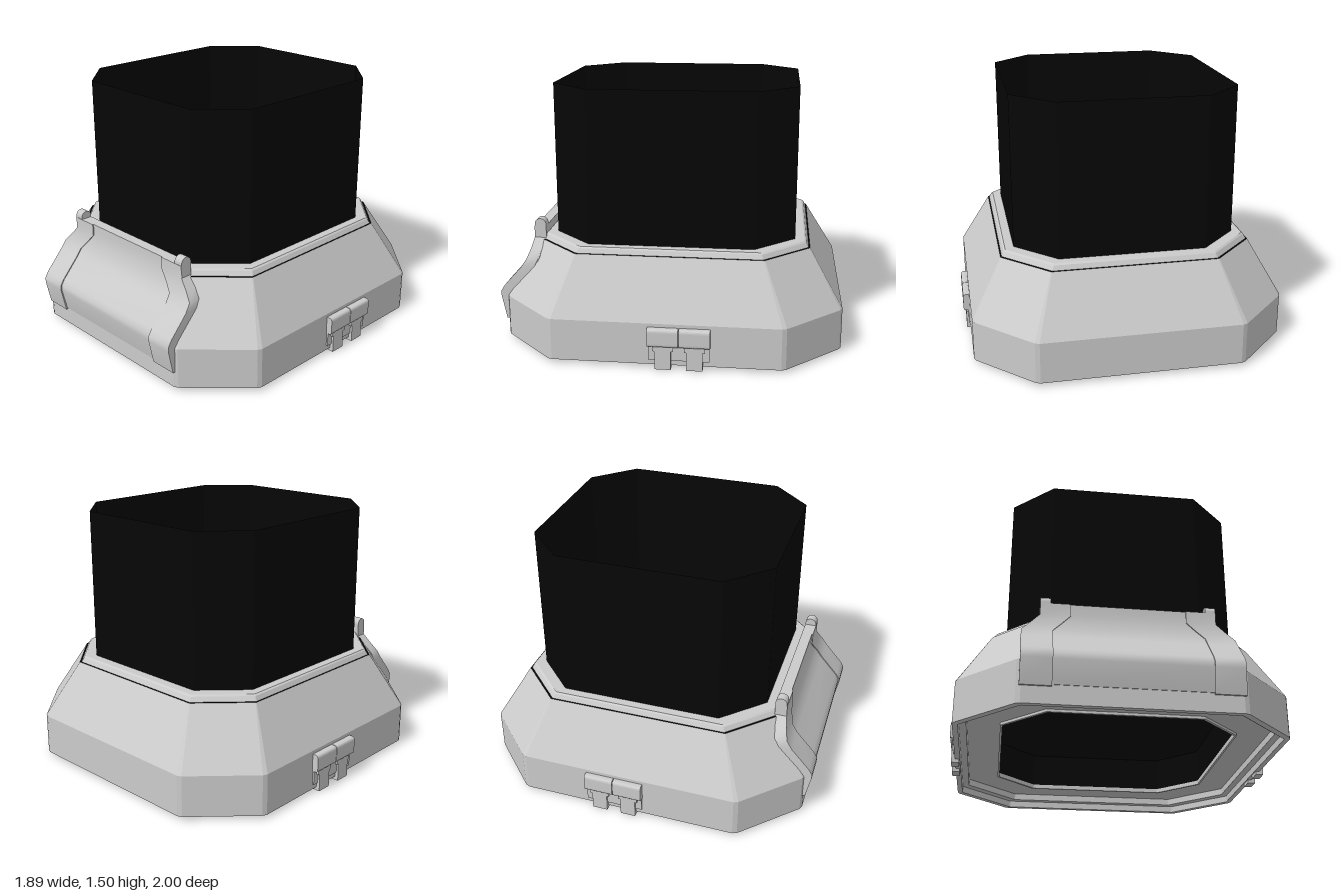
import * as THREE from 'three';
import { toCreasedNormals } from 'three/addons/utils/BufferGeometryUtils.js';

const MID_Z = -0.02;

// Skin a list of horizontal rings (arrays of [x, y, z]); rings rise on the outside
function loft(rings, caps = false) {
  const n = rings[0].length, idx = [];
  for (let i = 0; i < rings.length - 1; i++) {
    for (let j = 0; j < n; j++) {
      const k = (j + 1) % n;
      const a = i * n + j, b = i * n + k, c = a + n, d = b + n;
      idx.push(a, b, d, a, d, c);
    }
  }
  if (caps) {
    const top = (rings.length - 1) * n;
    for (let j = 1; j < n - 1; j++) {
      idx.push(0, j + 1, j);
      idx.push(top, top + j, top + j + 1);
    }
  }
  const geo = new THREE.BufferGeometry();
  geo.setAttribute('position', new THREE.Float32BufferAttribute(rings.flat(2), 3));
  geo.setIndex(idx);
  return geo;
}

// Octagon inset by d from the outer footprint, with chamfer c and corners eased by e
function octagon(d, y, c, e = 0.003) {
  const hx = 0.91 - d, hz = 0.98 - 1.07 * d;
  const p = [
    [c - hx, hz], [hx - c, hz], [hx, hz - c], [hx, c - hz],
    [hx - c, -hz], [c - hx, -hz], [-hx, c - hz], [-hx, hz - c],
  ];
  const out = [];
  p.forEach((v, i) => {
    for (const q of [p[(i + 7) % 8], p[(i + 1) % 8]]) {
      const t = e / Math.hypot(q[0] - v[0], q[1] - v[1]);
      out.push([v[0] + (q[0] - v[0]) * t, y, v[1] + (q[1] - v[1]) * t + MID_Z]);
    }
  });
  return out;
}

const octLoft = (profile, caps) =>
  toCreasedNormals(loft(profile.map(s => octagon(...s)), caps), 0.3);

// Block swept up through four-cornered rings of [y, front z, back z, x from, x to]
const slabLoft = rows => toCreasedNormals(
  loft(rows.map(([y, f, b, x0, x1]) => [[x0, y, f], [x1, y, f], [x1, y, b], [x0, y, b]]), true), 0.7);

export function createModel() {
  const grey = new THREE.MeshStandardMaterial({ color: 0xcbcbcb });
  grey.name = 'lightGrey';
  const black = new THREE.MeshStandardMaterial({ color: 0x060606, side: THREE.DoubleSide });
  black.name = 'black';

  const model = new THREE.Group();
  model.name = 'collarAssembly';
  const add = (name, geo, mat, parent = model) => {
    const mesh = new THREE.Mesh(geo, mat);
    mesh.name = name;
    parent.add(mesh);
    return mesh;
  };

  // Collar body with sloping shoulder
  add('collarShell', octLoft([
    [0, 0.02, 0.325, 0.015], [0, 0.26, 0.325, 0.015], [0.18, 0.585, 0.255],
  ]), grey);

  // Dark seam ledge below the rim
  add('rimSeam', octLoft([[0.18, 0.585, 0.255], [0.187, 0.586, 0.255]]), black);

  // Rim around the shaft
  add('rim', octLoft([
    [0.187, 0.586, 0.255], [0.2, 0.612, 0.25], [0.21, 0.62, 0.245], [0.262, 0.62, 0.23],
  ]), grey);

  // Shallow stepped underside, from the shaft outwards to the bottom edge
  add('underside', octLoft([
    [0.262, 0.11, 0.23], [0.262, 0.085, 0.23], [0.25, 0.085, 0.235], [0.25, 0.1, 0.235],
    [0.07, 0.1, 0.305], [0.07, 0.06, 0.305], [0.03, 0.06, 0.315], [0.03, 0.02, 0.315],
    [0, 0.02, 0.325, 0.015],
  ]), grey);

  // Hollow shaft with a floor inside
  add('shaft', octLoft([[0.26, 0.09, 0.23], [0.26, 1.505, 0.23]]), black);
  add('shaftFloor', octLoft([[0.261, 0.31, 0.23], [0.261, 0.315, 0.23]], true), black);

  // Front flap: rows of [y, front z, back z, half width]
  const flap = new THREE.Group();
  flap.name = 'frontFlap';
  model.add(flap);
  const rows = [
    [0.115, 0.964, 0.93, 0.58], [0.255, 0.993, 0.93, 0.58], [0.285, 0.993, 0.92, 0.58],
    [0.32, 0.972, 0.89, 0.58], [0.44, 0.865, 0.79, 0.58], [0.49, 0.832, 0.765, 0.575],
    [0.54, 0.815, 0.75, 0.53], [0.595, 0.803, 0.74, 0.48], [0.665, 0.803, 0.74, 0.48],
  ];
  add('flapPanel', slabLoft(rows.map(([y, f, b, w], i) =>
    [i ? y : 0.125, f, b, 0.005 - w, w - 0.005])), grey, flap);

  // Slightly proud bands down both edges of the flap
  for (const s of [1, -1]) {
    add('flapBand', slabLoft(rows.map(([y, f, b, w]) => {
      const [x0, x1] = [s * w, s * (w - 0.165)].sort((p, q) => p - q);
      return [y, f + 0.007, b + 0.005, x0, x1];
    })), grey, flap);
  }

  // Round-topped lugs on the flap's upper corners
  const lugShape = new THREE.Shape();
  lugShape.moveTo(-0.034, 0.59);
  lugShape.lineTo(0.034, 0.59);
  lugShape.absarc(0, 0.675, 0.034, 0, Math.PI, false);
  const lugGeo = new THREE.ExtrudeGeometry(lugShape, { depth: 0.056, bevelEnabled: false, curveSegments: 12 });
  lugGeo.translate(0, 0, -0.028).rotateY(-Math.PI / 2);
  for (const s of [1, -1]) add('flapLug', lugGeo, grey, flap).position.set(s * 0.453, 0, 0.774);

  // Paired clips on each side
  const barShape = new THREE.Shape();
  barShape.moveTo(0.89, 0.135);
  barShape.lineTo(0.93, 0.135);
  barShape.quadraticCurveTo(0.947, 0.135, 0.947, 0.155);
  barShape.lineTo(0.947, 0.22);
  barShape.quadraticCurveTo(0.947, 0.24, 0.927, 0.24);
  barShape.lineTo(0.89, 0.24);
  const barGeo = new THREE.ExtrudeGeometry(barShape, { depth: 0.172, bevelEnabled: false, curveSegments: 5 });
  barGeo.translate(0, 0, -0.086);
  for (const s of [1, -1]) {
    const side = new THREE.Group();
    side.name = s > 0 ? 'leftClips' : 'rightClips';
    // Half turn about the clips' own centre line mirrors the symmetric pair
    side.position.z = -0.098;
    side.rotation.y = s > 0 ? 0 : Math.PI;
    model.add(side);
    for (const z of [0.088, -0.088]) {
      add('clipBar', barGeo, grey, side).position.z = z;
      add('clipNeck', new THREE.BoxGeometry(0.045, 0.03, 0.115), grey, side).position.set(0.909, 0.122, z);
      add('clipLeg', new THREE.BoxGeometry(0.045, 0.12, 0.09), grey, side).position.set(0.909, 0.06, z);
    }
    add('clipStrip', new THREE.BoxGeometry(0.03, 0.09, 0.34), grey, side).position.set(0.904, 0.095, 0);
  }

  return model;
}
